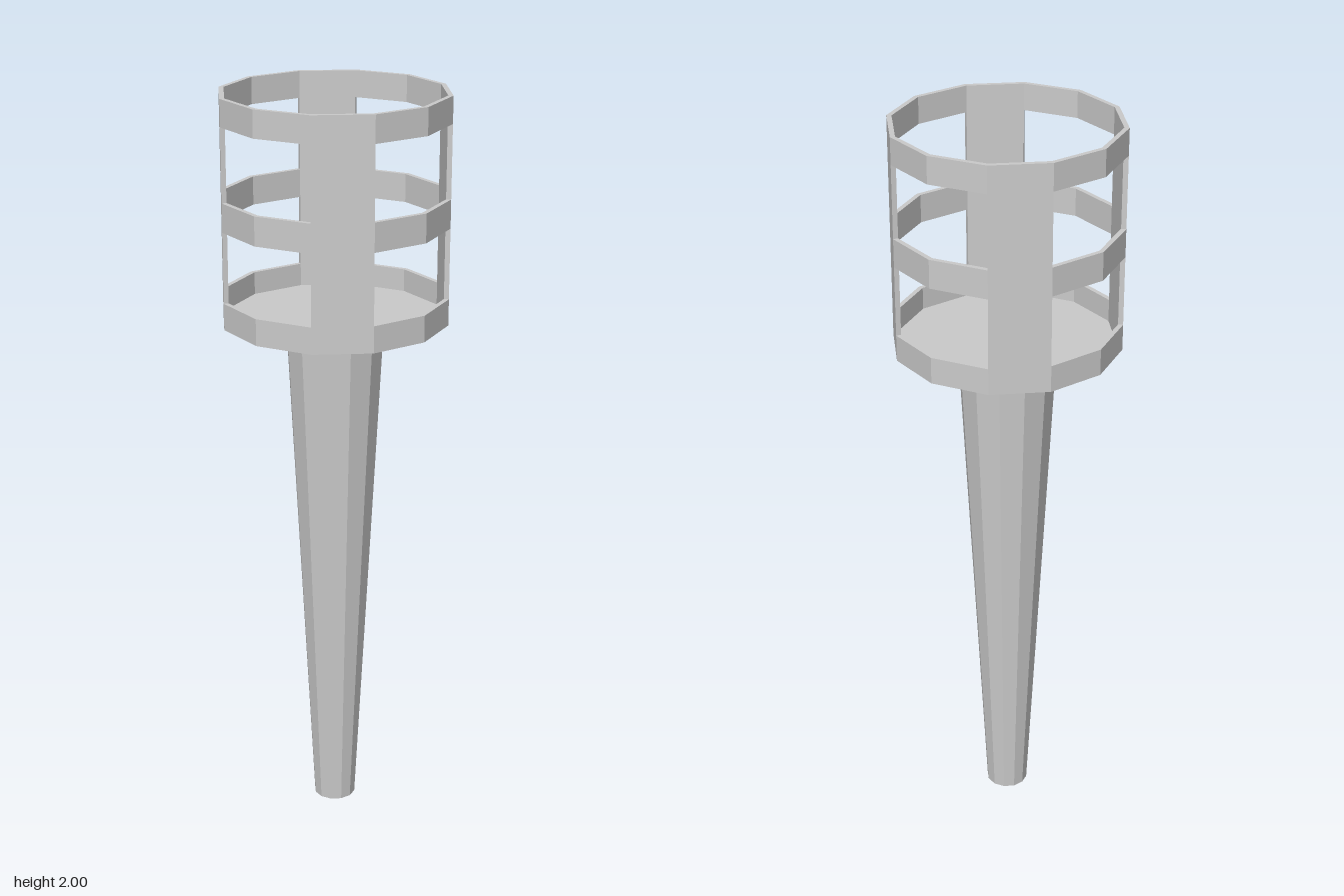
import * as THREE from 'three';

const SIDES = 12;
const STEP = (Math.PI * 2) / SIDES;
const OUTER = 0.297, INNER = 0.284; // corner radii of the cage wall

export function createModel() {
  const group = new THREE.Group();
  const material = new THREE.MeshStandardMaterial({ color: 0xcccccc, flatShading: true });

  const add = (name, geometry) => {
    const mesh = new THREE.Mesh(geometry, material);
    mesh.name = name;
    group.add(mesh);
    return mesh;
  };
  // Twelve-sided turned part with a flat facing the front
  const turn = (name, points) => add(name, new THREE.LatheGeometry(
    points.map(([x, y]) => new THREE.Vector2(x, y)), SIDES, STEP / 2));

  // Tapered handle
  turn('handle', [[0, 0], [0.057, 0], [0.13, 1.41]]);

  // Shallow cup: floor plus lower band
  turn('cupBase', [[0, 1.41], [OUTER, 1.41], [OUTER, 1.48], [INNER, 1.48], [INNER, 1.42], [0, 1.42]]);

  // Middle and upper bands
  const band = (name, y0, y1) => turn(name,
    [[INNER, y0], [OUTER, y0], [OUTER, y1], [INNER, y1], [INNER, y0]]);
  band('middleBand', 1.665, 1.74);
  band('topBand', 1.93, 2);

  // Four posts, one facet wide, between the bands
  const s = Math.sin(STEP / 2), c = Math.cos(STEP / 2);
  const section = new THREE.Shape([
    new THREE.Vector2(-OUTER * s, -OUTER * c),
    new THREE.Vector2(OUTER * s, -OUTER * c),
    new THREE.Vector2(INNER * s, -INNER * c),
    new THREE.Vector2(-INNER * s, -INNER * c),
  ]);
  for (const [y0, y1] of [[1.48, 1.665], [1.74, 1.93]]) {
    const geometry = new THREE.ExtrudeGeometry(section, { depth: y1 - y0, bevelEnabled: false });
    geometry.rotateX(-Math.PI / 2);
    for (let i = 0; i < 4; i++) {
      const post = add('post', geometry);
      post.position.y = y0;
      post.rotation.y = (i * Math.PI) / 2;
    }
  }

  return group;
}
